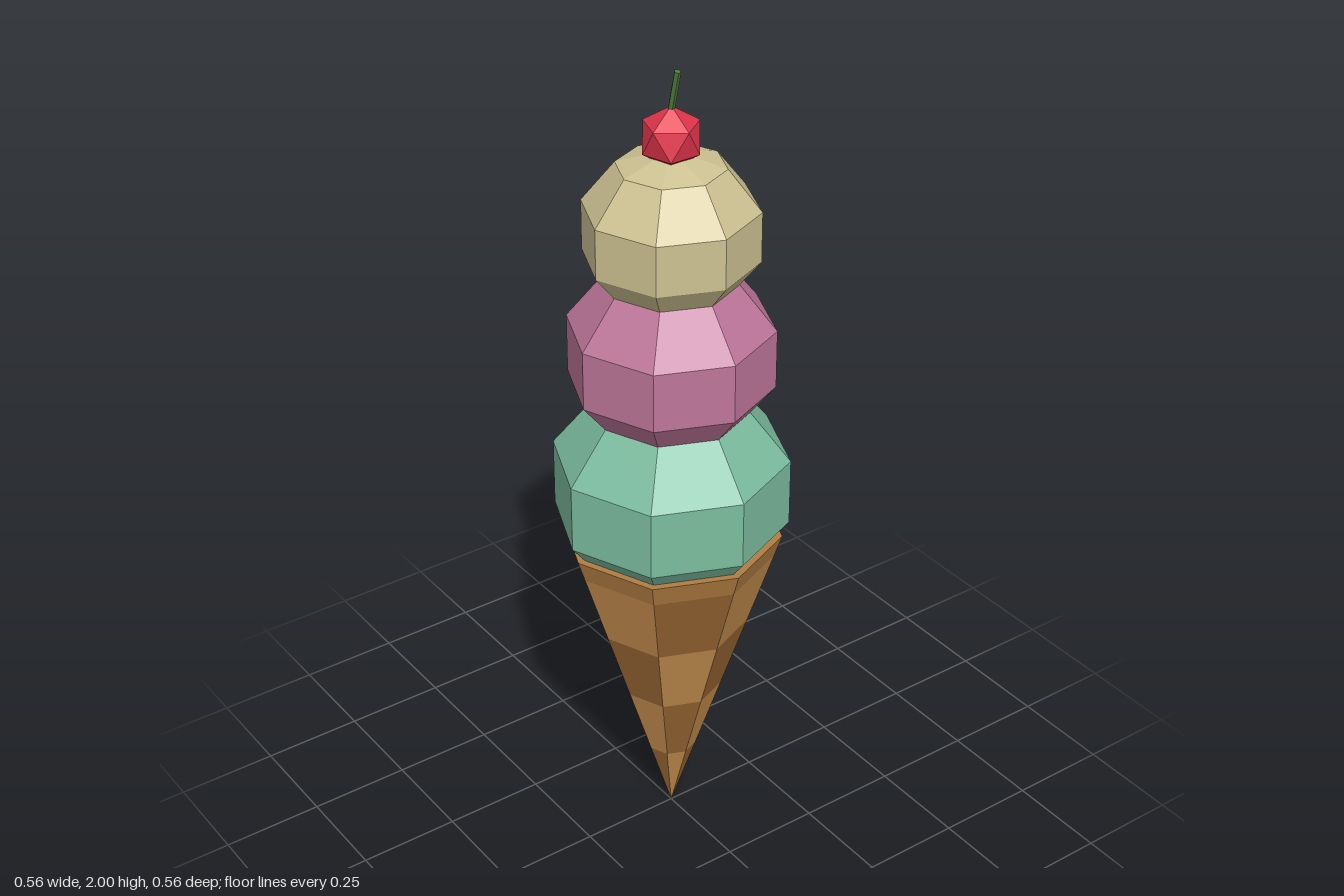
import * as THREE from 'three';
import { mergeGeometries } from 'three/addons/utils/BufferGeometryUtils.js';

const SIDES = 8;
const CONE_HEIGHT = 0.836, CONE_RADIUS = 0.265, ROW = 0.195;

function material(name, color) {
  const m = new THREE.MeshStandardMaterial({ color, flatShading: true });
  m.name = name;
  return m;
}

export function createModel() {
  const group = new THREE.Group();
  const mats = {
    waferLight: material('light wafer', 0xc68f4e),
    waferDark: material('dark wafer', 0x996733),
    waferRim: material('wafer rim', 0xb07d42),
    mint: material('mint', 0x7cbd9f),
    pink: material('strawberry pink', 0xbe769a),
    vanilla: material('vanilla', 0xcdc292),
    cherry: material('cherry red', 0xe0344a),
    stem: material('stem green', 0x4f7a3a),
  };

  function add(name, geometry, mat, x = 0, y = 0) {
    const mesh = new THREE.Mesh(geometry, mat);
    mesh.name = name;
    mesh.position.set(x, y, 0);
    group.add(mesh);
    return mesh;
  }

  // One band of the cone between two heights, over part of its turn
  function band(y0, y1, sides, start, arc) {
    const r = (y) => (CONE_RADIUS * y) / CONE_HEIGHT;
    return new THREE.CylinderGeometry(r(y1), r(y0), y1 - y0, sides, 1, true, start, arc)
      .translate(0, (y0 + y1) / 2, 0);
  }

  // Checkered wafer cone: alternate panels go to the light or the dark mesh
  const panels = [[], []];
  const step = (Math.PI * 2) / SIDES;
  for (let i = 0; i < 4; i++) {
    for (let j = 0; j < SIDES; j++) {
      panels[(i + j) % 2].push(band(i * ROW, (i + 1) * ROW, 1, j * step, step));
    }
  }
  add('coneDarkPanels', mergeGeometries(panels[0]), mats.waferDark);
  add('coneLightPanels', mergeGeometries(panels[1]), mats.waferLight);

  // Plain rim and the closed top of the cone
  add('coneRim', band(4 * ROW, CONE_HEIGHT, SIDES, 0, Math.PI * 2), mats.waferRim);
  const top = new THREE.CircleGeometry(CONE_RADIUS, SIDES).rotateX(-Math.PI / 2);
  add('coneTop', top, mats.waferRim, 0, CONE_HEIGHT);

  // Three slightly flattened scoops
  const scoops = [
    ['bottomScoop', 0.294, 0.9615, mats.mint],
    ['middleScoop', 0.253, 1.3125, mats.pink],
    ['topScoop', 0.212, 1.615, mats.vanilla],
  ];
  for (const [name, radius, y, mat] of scoops) {
    add(name, new THREE.SphereGeometry(radius, SIDES, 5).scale(1, 0.92, 1), mat, 0, y);
  }

  // Cherry, turned so that one corner points up
  const golden = (1 + Math.sqrt(5)) / 2;
  const cherry = new THREE.IcosahedronGeometry(0.073, 0).rotateZ(-Math.atan(1 / golden));
  add('cherry', cherry, mats.cherry, 0, 1.839);

  // Leaning stem
  const from = new THREE.Vector3(-0.005, 1.885, 0), to = new THREE.Vector3(0.023, 1.998, 0);
  const stem = add('cherryStem', new THREE.CylinderGeometry(0.008, 0.008, from.distanceTo(to), 5), mats.stem);
  stem.position.copy(from).lerp(to, 0.5);
  stem.rotation.z = -Math.atan2(to.x - from.x, to.y - from.y);

  return group;
}
